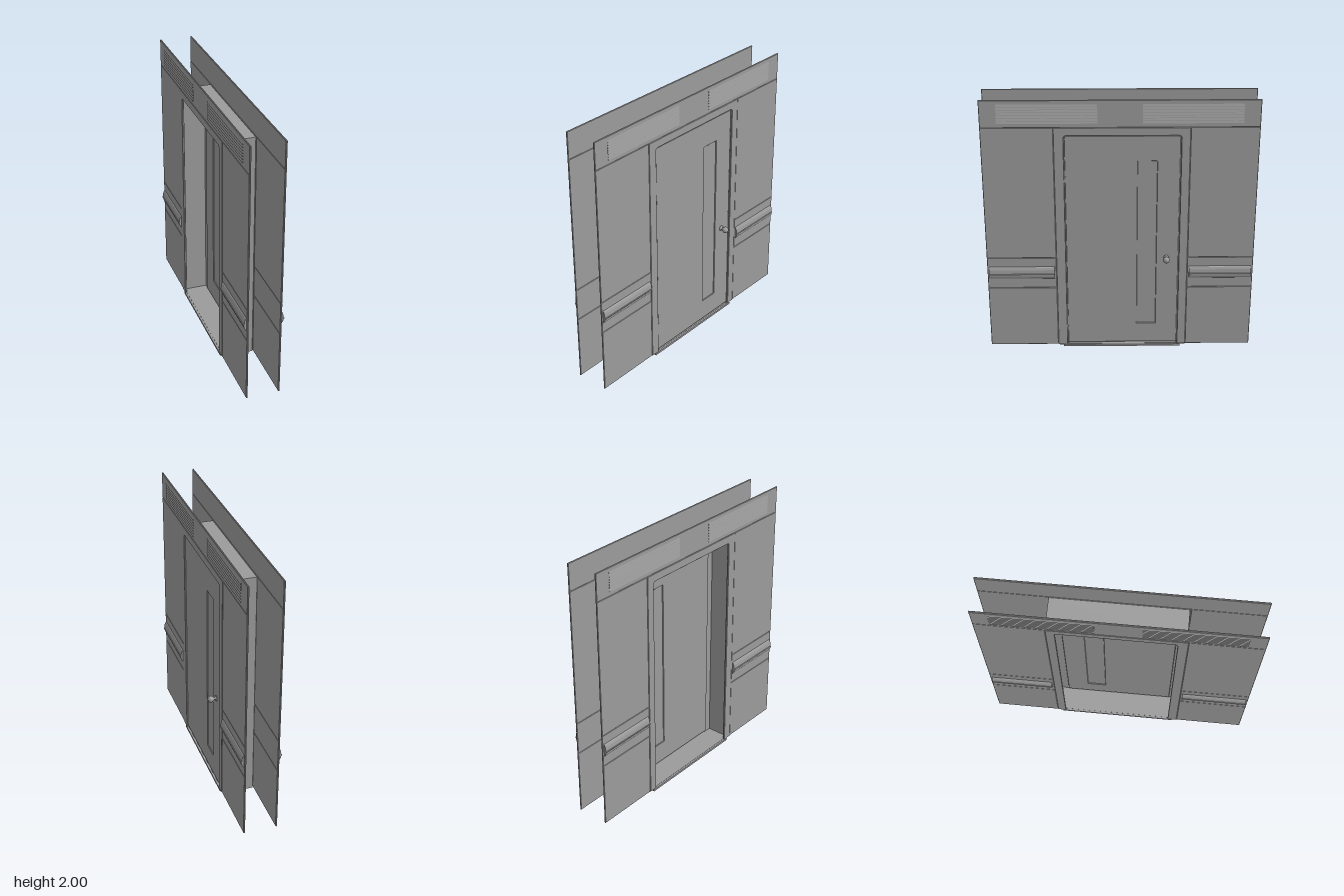
import * as THREE from 'three';

const mat = new THREE.MeshStandardMaterial({ color: 0x9b9b9b });
const MID = -0.02; // x of the plane halfway between the two wall faces

export function createModel() {
  const model = new THREE.Group();

  const add = (parent, name, geometry, x = 0, y = 0, z = 0) => {
    const mesh = new THREE.Mesh(geometry, mat);
    mesh.name = name;
    mesh.position.set(x, y, z);
    parent.add(mesh);
    return mesh;
  };
  // Box given by its limits on each axis
  const box = (parent, name, [x0, x1], [y0, y1], [z0, z1]) =>
    add(parent, name, new THREE.BoxGeometry(x1 - x0, y1 - y0, z1 - z0),
      (x0 + x1) / 2, (y0 + y1) / 2, (z0 + z1) / 2);

  // Outline in (z, y) with optional rounded top corners
  const outline = (z0, z1, y0, y1, r = 0, T = THREE.Shape) => {
    const s = new T();
    s.moveTo(-z1, y0);
    s.lineTo(-z0, y0);
    s.lineTo(-z0, y1 - r);
    if (r) s.quadraticCurveTo(-z0, y1, -z0 - r, y1);
    s.lineTo(-z1 + r, y1);
    if (r) s.quadraticCurveTo(-z1, y1, -z1, y1 - r);
    s.closePath();
    return s;
  };
  // Bevelled slab of that outline, centred on x = 0
  const slab = (shape, depth, bevel) => {
    const g = new THREE.ExtrudeGeometry(shape, {
      depth: depth - 2 * bevel, bevelThickness: bevel,
      bevelSize: bevel, bevelOffset: -bevel, bevelSegments: 1, curveSegments: 5,
    });
    g.translate(0, 0, -(depth - 2 * bevel) / 2);
    return g.rotateY(Math.PI / 2);
  };
  // Cross-section of (x, y) points drawn along z
  const bar = (points, z0, z1) => {
    const shape = new THREE.Shape(points.map(p => new THREE.Vector2(...p)));
    return new THREE.ExtrudeGeometry(shape, { depth: z1 - z0, bevelEnabled: false })
      .translate(0, 0, z0);
  };

  for (const s of [1, -1]) {
    const wall = new THREE.Group();
    wall.name = s > 0 ? 'doorWall' : 'openingWall';
    wall.position.x = MID;
    model.add(wall);
    const x = s * 0.1215, face = 0.127;

    // Wall panels beside the doorway, with a handrail on the middle band
    for (const [z0, z1] of [[0.474, 0.99], [-0.99, -0.499]]) {
      for (const [name, y0, y1] of [['lowerPanel', 0.02, 0.518], ['railBand', 0.518, 0.768], ['upperPanel', 0.768, 1.796]])
        add(wall, name, slab(outline(z0, z1, y0, y1), 0.012, 0.003), x);
      const profile = [[0, 0.697], [0.009, 0.689], [0.016, 0.672], [0.02, 0.642], [0.025, 0.64], [0.025, 0.634],
        [0.02, 0.632], [0.017, 0.614], [0.008, 0.6], [0, 0.594]]
        .map(([px, py]) => [s * (face - 0.002 + px), py]);
      add(wall, 'handrail', bar(profile, z0 + 0.014, z1 - 0.014));
    }

    // Header panel with two vents of shallow, downward-opening louvres
    add(wall, 'headerPanel', slab(outline(-0.99, 0.99, 1.796, 2), 0.012, 0.003), x);
    for (const z of [0.515, -0.515])
      for (let i = 0; i < 7; i++) {
        const y = 1.828 + i * 0.021;
        add(wall, 'ventSlat', bar([[s * (face - 0.001), y], [s * (face + 0.005), y],
          [s * (face - 0.001), y + 0.021]], z - 0.355, z + 0.355));
      }

    // Door surround, open at the bottom
    const frame = new THREE.Shape();
    const [a, b, c, d, r] = [-0.474, 0.499, -0.402, 0.435, 0.02];
    frame.moveTo(a, 0.018);
    frame.lineTo(c, 0.018);
    frame.lineTo(c, 1.735 - r);
    frame.quadraticCurveTo(c, 1.735, c + r, 1.735);
    frame.lineTo(d - r, 1.735);
    frame.quadraticCurveTo(d, 1.735, d, 1.735 - r);
    frame.lineTo(d, 0.018);
    frame.lineTo(b, 0.018);
    frame.lineTo(b, 1.796);
    frame.lineTo(a, 1.796);
    frame.closePath();
    add(wall, 'doorFrame', slab(frame, 0.016, 0.003), x);
    box(wall, 'threshold', s > 0 ? [0.114, 0.13] : [-0.13, -0.114], [0, 0.016], [-0.46, 0.435]);
  }

  // Passage lining between the two walls
  const passage = new THREE.Group();
  passage.name = 'passage';
  model.add(passage);
  const px = [-0.135, 0.096];
  box(passage, 'floor', px, [0.008, 0.018], [-0.5, 0.465]);
  box(passage, 'ceiling', px, [1.78, 1.79], [-0.5, 0.465]);
  box(passage, 'jamb', px, [0.018, 1.78], [0.455, 0.465]);
  box(passage, 'jamb', px, [0.018, 1.78], [-0.5, -0.49]);

  // Door leaf with a tall narrow inset pane
  const door = new THREE.Group();
  door.name = 'door';
  model.add(door);
  const leaf = outline(-0.431, 0.398, 0.034, 1.731, 0.018);
  leaf.holes.push(outline(-0.266, -0.126, 0.202, 1.538, 0.006, THREE.Path));
  add(door, 'doorLeaf', slab(leaf, 0.066, 0.003), 0.068);
  box(door, 'windowPane', [0.042, 0.094], [0.195, 1.545], [-0.272, -0.12]);
  // Stops closing the space between leaf and lining
  box(door, 'doorStop', [0.045, 0.094], [0.018, 1.78], [0.394, 0.456]);
  box(door, 'doorStop', [0.045, 0.094], [0.018, 1.78], [-0.491, -0.427]);
  box(door, 'doorStop', [0.045, 0.094], [1.726, 1.781], [-0.49, 0.456]);
  for (const y of [0.22, 1.42])
    box(door, 'hinge', [0.09, 0.106], [y - 0.05, y + 0.05], [0.394, 0.405]);

  // Turned knob
  const knob = [[0.001, 0], [0.02, 0], [0.02, 0.006], [0.01, 0.01], [0.009, 0.022], [0.016, 0.026], [0.023, 0.036],
    [0.025, 0.045], [0.022, 0.056], [0.013, 0.065], [0, 0.067]].map(p => new THREE.Vector2(...p));
  add(door, 'knob', new THREE.LatheGeometry(knob, 24).rotateZ(-Math.PI / 2), 0.099, 0.764, -0.342);

  return model;
}
